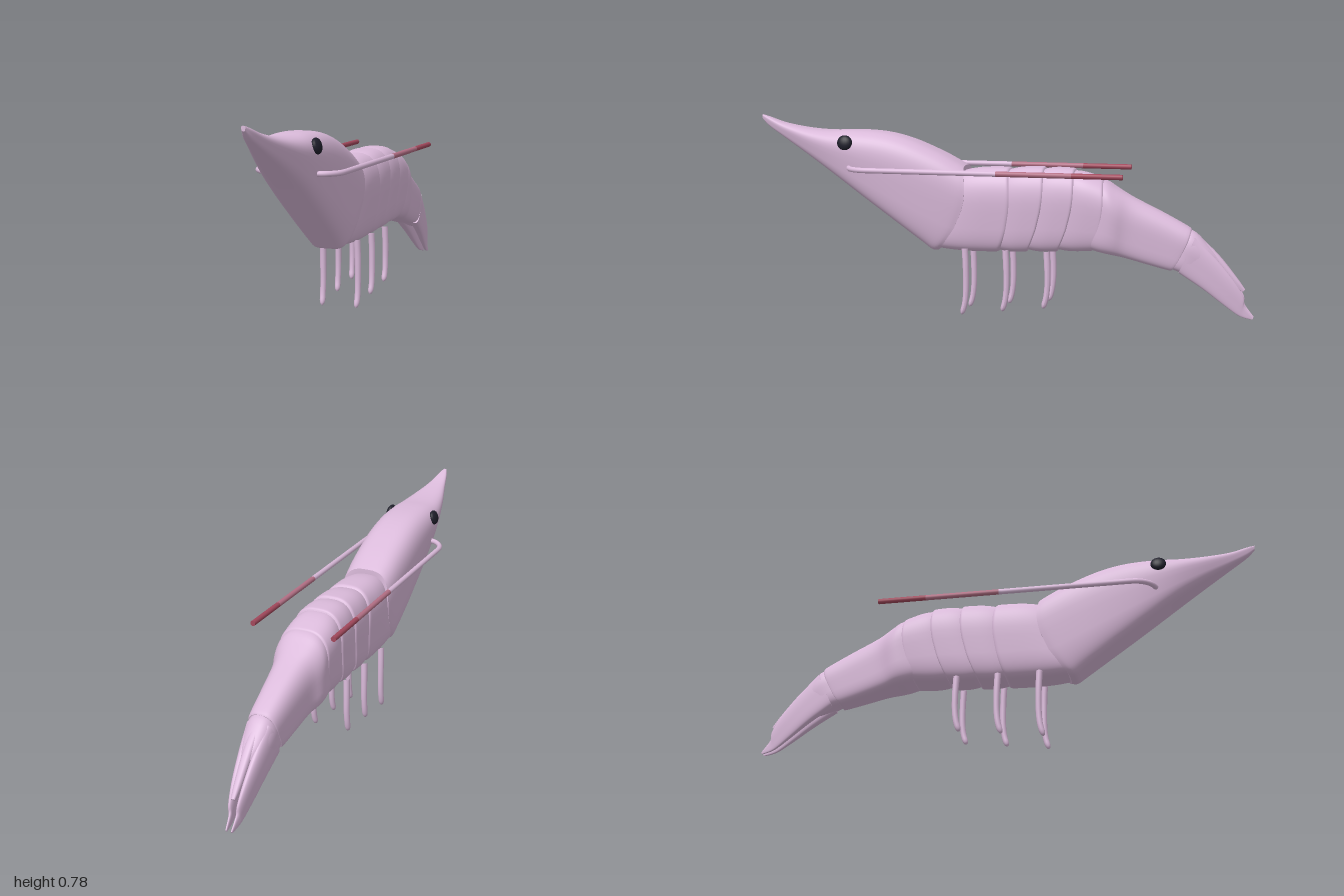
import * as THREE from 'three';

const material = (name, color) => {
  const m = new THREE.MeshStandardMaterial({ color });
  m.name = name;
  return m;
};

// Skin over stations [topZ, topY, bottomZ, bottomY, halfWidth, bow, centreX], ordered front to back.
// The upper half is rounded by power, the flatter belly by belly.
function loft(stations, { power = 2.8, belly = 5, taper = 0.15, sides = 56, steps = 4 } = {}) {
  const curve = (a, b, c) => new THREE.CatmullRomCurve3(
    stations.map(s => new THREE.Vector3(s[a] ?? 0, s[b] ?? 0, s[c] ?? 0)), false, 'catmullrom', 0.5);
  const tops = curve(0, 1, 4), bottoms = curve(2, 3, 5), centres = curve(6, 6, 6);
  const n = (stations.length - 1) * steps, pos = [], index = [];
  const ring = k => {
    const a = tops.getPoint(k / n), b = bottoms.getPoint(k / n), cx = centres.getPoint(k / n).x;
    for (let j = 0; j < sides; j++) {
      const t = (j / sides) * Math.PI * 2;
      const e = 2 / (Math.sin(t) < 0 ? belly : power);
      const round = v => Math.sign(v) * Math.pow(Math.abs(v), e);
      const s = (round(Math.sin(t)) + 1) / 2;
      pos.push(cx + round(Math.cos(t)) * a.z * (1 - taper * (1 - s) ** 2),
        b.y + (a.y - b.y) * s,
        b.x + (a.x - b.x) * s + b.z * (1 - (2 * s - 1) ** 2));
    }
    return [cx, (a.y + b.y) / 2, (a.x + b.x) / 2 + b.z];
  };
  for (let k = 0; k <= n; k++) ring(k);
  for (let k = 0; k < n; k++) {
    for (let j = 0; j < sides; j++) {
      const a = k * sides + j, b = k * sides + (j + 1) % sides;
      index.push(a, a + sides, b, b, a + sides, b + sides);
    }
  }
  // end caps with their own corners, so the rims stay crisp
  for (const [k, front] of [[0, true], [n, false]]) {
    const start = pos.length / 3, centre = start + sides;
    pos.push(...ring(k));
    for (let j = 0; j < sides; j++) {
      const a = start + j, b = start + (j + 1) % sides;
      index.push(centre, front ? a : b, front ? b : a);
    }
  }
  const g = new THREE.BufferGeometry();
  g.setAttribute('position', new THREE.Float32BufferAttribute(pos, 3));
  g.setIndex(index);
  g.computeVertexNormals();
  return g;
}

// Tube that can thin along its length to a rounded end
function rod(points, radius, endScale = 1) {
  const path = new THREE.CatmullRomCurve3(points.map(p => new THREE.Vector3(...p)));
  const rows = 48, cols = 12;
  const g = new THREE.TubeGeometry(path, rows, radius, cols, false);
  const p = g.attributes.position, v = new THREE.Vector3();
  for (let i = 0; i < p.count; i++) {
    const u = Math.floor(i / (cols + 1)) / rows, c = path.getPointAt(u);
    const cap = u > 0.9 && endScale < 1 ? Math.sqrt(Math.max(0, 1 - ((u - 0.9) / 0.1) ** 2)) : 1;
    v.fromBufferAttribute(p, i).sub(c).multiplyScalar((1 + (endScale - 1) * u) * cap).add(c);
    p.setXYZ(i, v.x, v.y, v.z);
  }
  g.computeVertexNormals();
  return g;
}

export function createModel() {
  const model = new THREE.Group();
  const shell = material('pale pink shell', 0xdabada);
  const rose = material('dusky rose', 0xb47086);
  const red = material('dark red', 0xa2485c);
  const black = material('eye black', 0x1e1e2a);
  const add = (name, geometry, mat) => {
    const mesh = new THREE.Mesh(geometry, mat);
    mesh.name = name;
    model.add(mesh);
    return mesh;
  };

  // Head shell with the pointed snout
  add('carapace', loft([
    [1.0, 0.788, 1.0, 0.77, 0.008],
    [0.97, 0.779, 0.965, 0.738, 0.021],
    [0.9, 0.755, 0.89, 0.69, 0.042],
    [0.8, 0.737, 0.78, 0.62, 0.075],
    [0.7, 0.73, 0.67, 0.545, 0.1],
    [0.6, 0.734, 0.56, 0.465, 0.111],
    [0.48, 0.728, 0.46, 0.393, 0.116],
    [0.37, 0.703, 0.37, 0.328, 0.118, -0.015],
    [0.25, 0.655, 0.31, 0.284, 0.116, -0.035],
    [0.175, 0.617, 0.275, 0.259, 0.112, -0.05],
    [0.145, 0.6, 0.25, 0.259, 0.107, -0.055],
  ], { power: 3.1, taper: 0.29 }), shell);

  // Four overlapping abdomen shells: rim positions [topZ, topY, bottomZ, bottomY, bow]
  const rims = [
    [0.14, 0.592, 0.25, 0.259, -0.05],
    [-0.035, 0.597, 0.0, 0.26, -0.025],
    [-0.175, 0.602, -0.115, 0.265, -0.025],
    [-0.295, 0.598, -0.235, 0.27, -0.025],
    [-0.41, 0.56, -0.375, 0.278, -0.02],
  ];
  for (let i = 0; i < 4; i++) {
    const station = (u, scale) => {
      const [zt, yt, zb, yb, bow] = rims[i].map((v, k) => v + (rims[i + 1][k] - v) * u);
      const mid = (yt + yb) / 2, h = (yt - yb) / 2 * scale;
      return [zt, mid + h, zb, mid - h, 0.109 * scale, bow];
    };
    add('abdomenShell' + (i + 1), loft([
      station(-0.15, 0.9), station(0.12, 0.965), station(0.45, 1.0),
      station(0.88, 1.0), station(0.98, 0.985), station(1.02, 0.94),
    ], { taper: 0.22 }), shell);
  }

  // Tapering tail segment
  add('tailSegment', loft([
    [-0.37, 0.555, -0.35, 0.288, 0.098, -0.02],
    [-0.42, 0.552, -0.4, 0.275, 0.106, -0.02],
    [-0.465, 0.525, -0.445, 0.266, 0.102, -0.01],
    [-0.53, 0.488, -0.5, 0.254, 0.083],
    [-0.64, 0.435, -0.59, 0.23, 0.071],
    [-0.74, 0.382, -0.67, 0.21, 0.062, -0.01],
    [-0.755, 0.368, -0.68, 0.212, 0.057, -0.01],
  ], { power: 2.7, taper: 0.1 }), shell);

  // Tail base, then the central spine and the two fan blades
  add('tailBase', loft([
    [-0.72, 0.375, -0.66, 0.222, 0.05],
    [-0.77, 0.36, -0.71, 0.204, 0.059],
    [-0.83, 0.3, -0.76, 0.185, 0.05],
    [-0.87, 0.255, -0.8, 0.175, 0.03],
  ], { power: 2.4, belly: 4, taper: 0.08 }), shell);
  add('tailSpine', loft([
    [-0.78, 0.35, -0.76, 0.28, 0.022],
    [-0.86, 0.275, -0.84, 0.225, 0.019],
    [-0.93, 0.19, -0.91, 0.16, 0.014],
    [-0.965, 0.142, -0.955, 0.132, 0.008],
  ], { taper: 0 }), shell);
  for (const side of [1, -1]) {
    const name = side > 0 ? 'left' : 'right';
    add(name + 'FanBlade', loft([
      [-0.77, 0.345, -0.71, 0.204, 0.026, 0, side * 0.032],
      [-0.85, 0.265, -0.8, 0.145, 0.021, 0, side * 0.027],
      [-0.92, 0.18, -0.87, 0.092, 0.015, 0, side * 0.022],
      [-0.96, 0.115, -0.93, 0.048, 0.009, 0, side * 0.017],
      [-0.965, 0.08, -0.96, 0.033, 0.006, 0, side * 0.014],
      [-1.0, 0.033, -0.995, 0.025, 0.003, 0, side * 0.011],
    ], { power: 2.4, belly: 4, taper: 0.1 }), shell);

    // Eyes
    const eye = add(name + 'Eye', new THREE.SphereGeometry(1, 20, 14), black);
    eye.scale.set(0.016, 0.03, 0.031);
    eye.position.set(side * 0.1, 0.689, 0.618);
    eye.rotation.z = side * 0.25;

    // Swept-back feelers in three colours
    const x = side * 0.164, y = 0.588;
    add(name + 'FeelerBase', rod([
      [side * 0.095, y, 0.604], [side * 0.122, y, 0.592], [side * 0.15, y, 0.562],
      [side * 0.162, y, 0.53], [x, y, 0.5], [x, y, 0.44], [x, y, 0.2], [x, y, -0.01],
    ], 0.0105), shell);
    for (const [part, from, to, mat] of [['Middle', -0.01, -0.305, rose], ['Tip', -0.305, -0.5, red]]) {
      const g = new THREE.CylinderGeometry(0.0105, 0.0105, from - to, 12);
      g.rotateX(Math.PI / 2);
      add(name + 'Feeler' + part, g, mat).position.set(x, y, (from + to) / 2);
    }

    // Three legs a side, with forward-curled feet
    [[0.135, 0.003], [-0.03, 0.024], [-0.195, 0.043]].forEach(([z, foot], i) => {
      add(name + 'Leg' + (i + 1), rod([
        [side * 0.071, 0.275, z], [side * 0.073, 0.2, z - 0.004], [side * 0.073, foot + 0.09, z - 0.004],
        [side * 0.073, foot + 0.04, z + 0.002], [side * 0.071, foot, z + 0.014],
      ], 0.013, 0.85), shell);
    });
  }
  return model;
}
